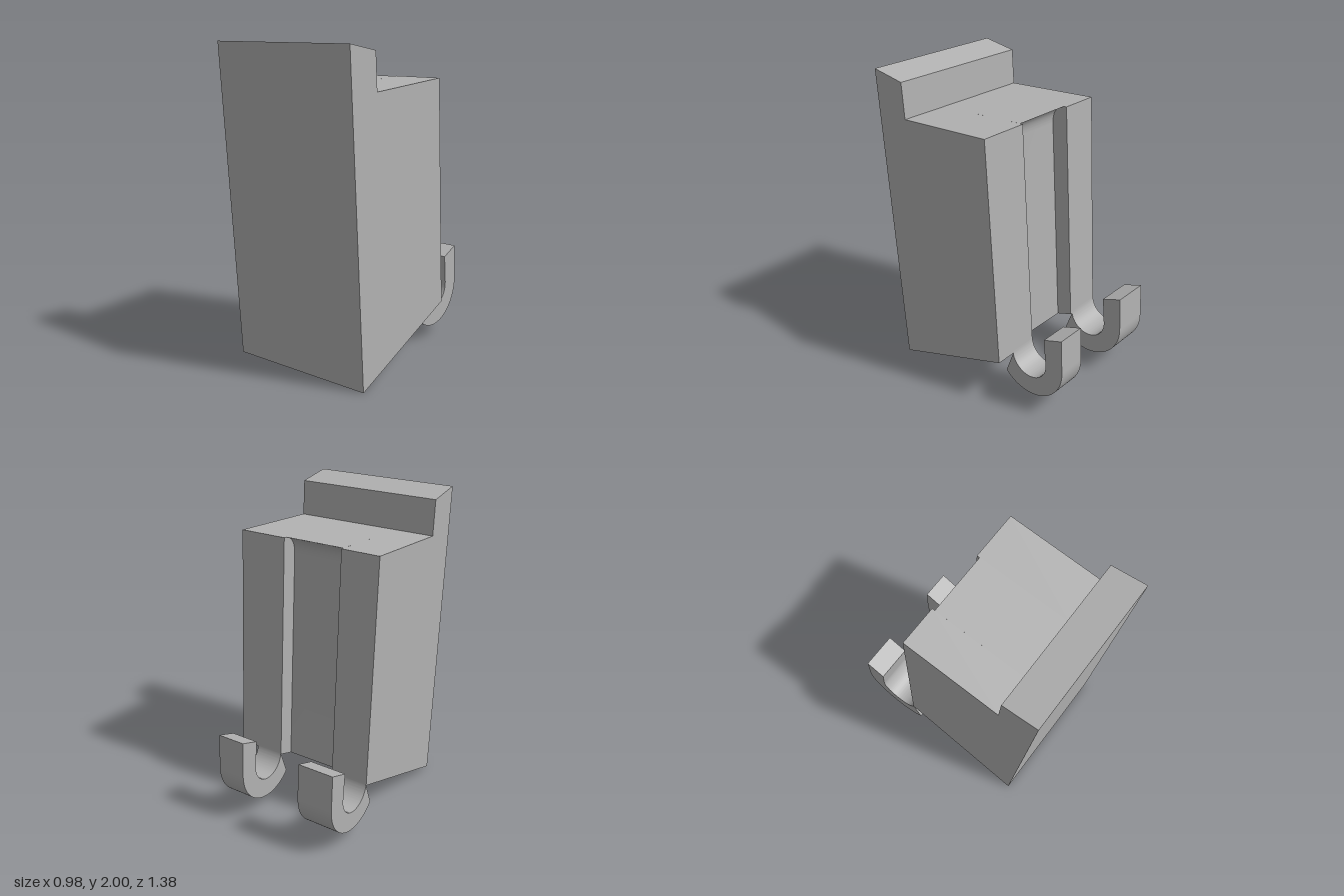
import * as THREE from 'three';
import { toCreasedNormals } from 'three/addons/utils/BufferGeometryUtils.js';

// Extrudes a side profile drawn in (z, y) across the width from x0 to x1
function slab(name, shape, x0, x1, material) {
  let geo = new THREE.ExtrudeGeometry(shape, { depth: x1 - x0, bevelEnabled: false, curveSegments: 32 });
  geo.rotateY(-Math.PI / 2).translate(x1, 0, 0);
  geo = toCreasedNormals(geo, 0.4);
  const mesh = new THREE.Mesh(geo, material);
  mesh.name = name;
  return mesh;
}

// Wedge-shaped block with a raised lip along the front of its top
function bodyProfile(grooved) {
  const s = new THREE.Shape();
  s.moveTo(0.565, 0);
  s.lineTo(0.69, 2);
  s.lineTo(0.46, 1.96);
  s.lineTo(0.445, 1.735);
  if (grooved) {
    // recessed back that sweeps out again just below the top
    s.lineTo(-0.185, 1.774);
    s.quadraticCurveTo(-0.098, 1.755, -0.102, 1.65);
    s.lineTo(-0.185, 0.275);
  } else {
    s.lineTo(-0.204, 1.775);
    s.lineTo(-0.295, 0.315);
  }
  s.closePath();
  return s;
}

// J-shaped hook that starts under the rear bottom edge
function hookProfile() {
  const cz = -0.428, cy = 0.343;
  const s = new THREE.Shape();
  s.moveTo(-0.145, 0.26);
  s.absarc(cz, cy, 0.26, -0.764, -Math.PI - 0.06, true);
  s.lineTo(-0.675, 0.585);
  s.lineTo(-0.543, 0.535);
  s.absarc(cz, cy, 0.133, -Math.PI - 0.06, -0.06, false);
  s.lineTo(-0.295, 0.315);
  s.closePath();
  return s;
}

export function createModel() {
  const grey = new THREE.MeshStandardMaterial({ color: 0xb2b2b2 });
  grey.name = 'plain grey';
  const model = new THREE.Group();
  model.name = 'hookBlock';
  model.add(
    // body, in three widths with the groove off centre
    slab('bodyRight', bodyProfile(false), -0.49, -0.235, grey),
    slab('bodyGroove', bodyProfile(true), -0.235, 0.17, grey),
    slab('bodyLeft', bodyProfile(false), 0.17, 0.49, grey),
    // a wide and a narrow hook
    slab('wideHook', hookProfile(), -0.49, -0.248, grey),
    slab('narrowHook', hookProfile(), 0.17, 0.36, grey),
  );
  return model;
}
